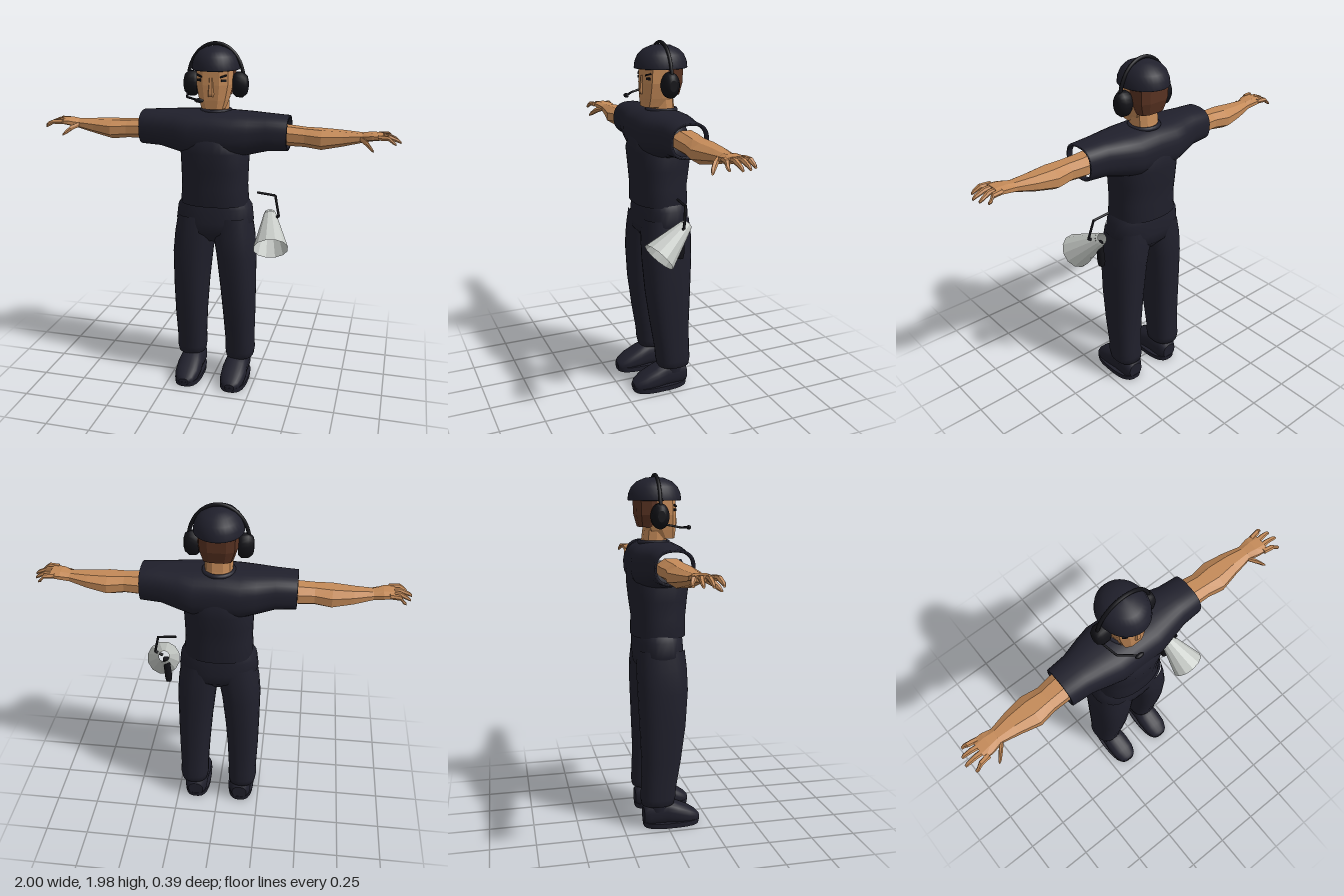
import * as THREE from 'three';

const AXES = { x: [0, 1, 2], y: [1, 2, 0], z: [2, 0, 1] };

// Skin through rounded sections [t, centreU, centreV, radiusU, radiusV]; u, v follow the axis cyclically.
function loft(axis, sections, { n = 24, p = 2.4, caps = false } = {}) {
  const [T, U, V] = AXES[axis], pos = [], idx = [];
  const pow = c => Math.sign(c) * Math.abs(c) ** (2 / p);
  const ring = ([t, cu, cv, ru, rv]) => {
    for (let j = 0; j < n; j++) {
      const a = (j + 0.5) / n * Math.PI * 2, q = [0, 0, 0];
      q[T] = t; q[U] = cu + ru * pow(Math.cos(a)); q[V] = cv + rv * pow(Math.sin(a));
      pos.push(...q);
    }
  };
  sections.forEach(ring);
  for (let i = 0; i < sections.length - 1; i++) {
    for (let j = 0; j < n; j++) {
      const k = (j + 1) % n, a = i * n + j, b = i * n + k;
      idx.push(a, b, b + n, a, b + n, a + n);
    }
  }
  if (caps) {
    [sections[0], sections[sections.length - 1]].forEach((s, e) => {
      const o = pos.length / 3, q = [0, 0, 0];
      ring(s);
      q[T] = s[0]; q[U] = s[1]; q[V] = s[2];
      pos.push(...q);
      for (let j = 0; j < n; j++) {
        const k = (j + 1) % n;
        if (e) idx.push(o + n, o + j, o + k); else idx.push(o + n, o + k, o + j);
      }
    });
  }
  const g = new THREE.BufferGeometry();
  g.setAttribute('position', new THREE.Float32BufferAttribute(pos, 3));
  g.setIndex(idx);
  g.computeVertexNormals();
  return g;
}

// Mirrored copy across x = 0 with corrected winding
function mirrored(geo) {
  const g = geo.clone().scale(-1, 1, 1), a = g.index.array;
  for (let i = 0; i < a.length; i += 3) [a[i], a[i + 1]] = [a[i + 1], a[i]];
  g.computeVertexNormals();
  return g;
}

// Straight round piece from point a to point b
function rod(a, b, ra, rb, n = 8, open = false) {
  const A = new THREE.Vector3(...a), B = new THREE.Vector3(...b), d = B.clone().sub(A);
  const g = new THREE.CylinderGeometry(rb, ra, d.length(), n, 1, open);
  g.applyQuaternion(new THREE.Quaternion().setFromUnitVectors(new THREE.Vector3(0, 1, 0), d.normalize()));
  const m = A.add(B).multiplyScalar(0.5);
  return g.translate(m.x, m.y, m.z);
}

export function createModel() {
  const model = new THREE.Group();
  model.name = 'crewMember';
  const mat = (name, color, extra = {}) => Object.assign(new THREE.MeshStandardMaterial({ color, ...extra }), { name });
  const navy = mat('navyCloth', 0x20202c);
  const black = mat('blackPlastic', 0x121217);
  const skin = mat('skin', 0xc48a58, { flatShading: true });
  const brown = mat('brownHair', 0x5a3322, { flatShading: true });
  const grey = mat('greyHorn', 0xc6cac6, { flatShading: true, side: THREE.DoubleSide });
  const add = (name, geo, material) => {
    const m = new THREE.Mesh(geo, material);
    m.name = name;
    model.add(m);
    return m;
  };
  const pair = (name, geo, material) => {
    add(name + 'Left', geo, material);
    add(name + 'Right', mirrored(geo), material);
  };

  // Shirt: sleeves and shoulders run across, the body hangs below
  const half = [
    [0.12, 1.49, -0.027, 0.125, 0.163], [0.2, 1.498, -0.025, 0.115, 0.143],
    [0.3, 1.508, -0.02, 0.1, 0.115], [0.41, 1.508, -0.018, 0.094, 0.107],
    [0.412, 1.508, -0.018, 0.08, 0.093], [0.385, 1.508, -0.018, 0.079, 0.092],
  ];
  const other = half.map(([x, ...r]) => [-x, ...r]).reverse();
  add('shirtShoulders', loft('x', [...other, [0, 1.49, -0.025, 0.13, 0.16], ...half], { n: 32, p: 2.5 }), navy);
  add('shirtBody', loft('y', [
    [1.13, -0.02, 0, 0.135, 0.175], [1.1, -0.02, 0, 0.138, 0.178], [1.1, -0.02, 0, 0.15, 0.192],
    [1.2, -0.018, 0, 0.148, 0.185], [1.3, -0.02, 0, 0.16, 0.187], [1.4, -0.02, 0, 0.171, 0.19],
    [1.46, -0.025, 0, 0.165, 0.165], [1.52, -0.03, 0, 0.14, 0.125],
  ], { n: 32 }), navy);
  add('collar', new THREE.TorusGeometry(0.078, 0.012, 8, 24).rotateX(Math.PI / 2).translate(0, 1.612, -0.04), navy);

  // Trousers
  add('trouserHips', loft('y', [
    [0.88, -0.02, 0, 0.08, 0.09], [0.94, -0.02, 0, 0.135, 0.19], [1.0, -0.022, 0, 0.14, 0.222],
    [1.08, -0.025, 0, 0.137, 0.212], [1.12, -0.025, 0, 0.13, 0.185],
  ], { n: 32, caps: true }), navy);
  pair('trouserLeg', loft('y', [
    [0.17, -0.05, 0.148, 0.075, 0.066], [0.14, -0.05, 0.148, 0.078, 0.068], [0.14, -0.052, 0.148, 0.093, 0.081],
    [0.18, -0.05, 0.149, 0.1, 0.086], [0.24, -0.045, 0.148, 0.1, 0.084], [0.4, -0.03, 0.146, 0.112, 0.091],
    [0.6, -0.02, 0.139, 0.13, 0.1], [0.8, -0.017, 0.128, 0.141, 0.111],
    [0.92, -0.02, 0.112, 0.141, 0.116], [1.03, -0.02, 0.1, 0.13, 0.11],
  ]), navy);

  // Shoes with flat soles
  pair('shoe', loft('z', [
    [-0.132, 0.138, 0.065, 0.045, 0.045], [-0.1, 0.138, 0.08, 0.066, 0.076], [0, 0.138, 0.082, 0.068, 0.078],
    [0.06, 0.138, 0.068, 0.074, 0.066], [0.13, 0.138, 0.05, 0.07, 0.05], [0.175, 0.138, 0.035, 0.052, 0.034],
    [0.193, 0.138, 0.03, 0.028, 0.02],
  ], { caps: true }), navy);
  pair('sole', loft('y', [[0, 0.03, 0.138, 0.162, 0.078], [0.03, 0.03, 0.138, 0.166, 0.08]], { p: 2.7, caps: true }), navy);
  pair('ankle', rod([0.145, 0.1, -0.05], [0.145, 0.2, -0.05], 0.064, 0.064, 20), navy);

  // Arms and hands
  pair('arm', loft('x', [
    [0.34, 1.5, -0.024, 0.056, 0.078], [0.42, 1.495, -0.024, 0.055, 0.08], [0.5, 1.492, -0.018, 0.052, 0.074],
    [0.59, 1.486, -0.018, 0.056, 0.09], [0.7, 1.495, -0.02, 0.042, 0.068],
    [0.8, 1.505, -0.014, 0.026, 0.046], [0.85, 1.515, -0.01, 0.023, 0.06],
    [0.905, 1.518, -0.005, 0.017, 0.062],
  ], { n: 8, p: 2.2, caps: true }), skin);
  for (const [i, [z0, z1, tip]] of [[-0.052, -0.072, 0.965], [-0.02, -0.032, 0.99], [0.013, 0.012, 1], [0.045, 0.065, 0.975]].entries()) {
    pair('finger' + (i + 1), loft('x', [
      [0.88, 1.52, z0, 0.014, 0.016], [0.935, 1.52, (z0 + z1) / 2, 0.013, 0.014],
      [tip - 0.015, 1.502, z1, 0.01, 0.011], [tip, 1.492, z1, 0.006, 0.007],
    ], { n: 6, caps: true }), skin);
  }
  pair('thumb', loft('x', [
    [0.79, 1.505, 0.02, 0.014, 0.014], [0.825, 1.49, 0.055, 0.016, 0.016],
    [0.85, 1.468, 0.078, 0.012, 0.013], [0.865, 1.455, 0.088, 0.006, 0.007],
  ], { n: 6, caps: true }), skin);

  // Head, neck and hair
  add('neck', loft('y', [[1.57, -0.045, 0, 0.075, 0.078], [1.63, -0.038, 0, 0.068, 0.074], [1.74, -0.03, 0, 0.062, 0.074]], { n: 10 }), skin);
  add('head', loft('y', [
    [1.632, 0.015, 0, 0.058, 0.066], [1.68, -0.008, 0, 0.086, 0.082],
    [1.76, -0.02, 0, 0.1, 0.099], [1.86, -0.025, 0, 0.1, 0.1],
  ], { n: 10, p: 3, caps: true }), skin);
  add('nose', loft('y', [[1.7, 0.07, 0, 0.016, 0.018], [1.715, 0.073, 0, 0.018, 0.018], [1.8, 0.073, 0, 0.007, 0.01]], { n: 6, caps: true }), skin);
  add('hair', loft('y', [
    [1.695, -0.08, 0, 0.048, 0.08], [1.76, -0.07, 0, 0.076, 0.102], [1.85, -0.07, 0, 0.08, 0.106],
  ], { n: 10, p: 3, caps: true }), brown);
  for (const s of [-1, 1]) {
    const eye = add('eye', new THREE.BoxGeometry(0.026, 0.013, 0.008), black);
    eye.position.set(s * 0.067, 1.786, 0.064);
    eye.rotation.y = s * 0.58;
    const brow = add('eyebrow', new THREE.BoxGeometry(0.036, 0.009, 0.009), black);
    brow.position.set(s * 0.066, 1.808, 0.065);
    brow.rotation.set(0, s * 0.58, s * 0.25);
  }

  // Helmet
  const dome = [[0, 0], [0.98, 0], [1, 0.02], [0.97, 0.3], [0.86, 0.58], [0.66, 0.8], [0.36, 0.95], [0, 1]];
  add('helmet', new THREE.LatheGeometry(dome.map(([r, y]) => new THREE.Vector2(r, y)), 32)
    .scale(0.13, 0.125, 0.147).translate(0, 1.835, -0.035), navy);

  // Headset: band, ear cups and microphone
  const band = [];
  for (let i = 0; i <= 12; i++) {
    const a = i / 12 * Math.PI;
    band.push(new THREE.Vector3(0.155 * Math.cos(a), 1.77 + 0.2 * Math.sin(a), -0.033));
  }
  add('headband', new THREE.TubeGeometry(new THREE.CatmullRomCurve3(band), 40, 0.01, 8), black);
  pair('earCup', loft('x', [
    [0.1, 1.755, -0.033, 0.055, 0.038], [0.115, 1.755, -0.033, 0.068, 0.048],
    [0.15, 1.755, -0.033, 0.068, 0.048], [0.172, 1.755, -0.033, 0.05, 0.034], [0.178, 1.755, -0.033, 0.03, 0.02],
  ], { n: 20, p: 2, caps: true }), black);
  add('micBoomSide', rod([-0.155, 1.715, -0.02], [-0.13, 1.695, 0.08], 0.006, 0.006), black);
  add('micBoomFront', rod([-0.13, 1.695, 0.08], [-0.045, 1.69, 0.148], 0.006, 0.006), black);
  add('microphone', new THREE.SphereGeometry(1, 12, 8).scale(0.026, 0.012, 0.012).translate(-0.045, 1.69, 0.148), black);

  // Megaphone with grip and carrying strap
  add('megaphoneHorn', rod([0.312, 1.03, -0.045], [0.35, 0.89, 0.125], 0.036, 0.097, 12, true), grey);
  add('megaphoneRim', rod([0.309, 1.04, -0.058], [0.312, 1.03, -0.045], 0.03, 0.036, 12, true), grey);
  add('megaphoneGrip', loft('y', [
    [0.845, -0.025, 0.295, 0.018, 0.016], [0.87, -0.025, 0.295, 0.022, 0.02], [1.0, -0.025, 0.305, 0.02, 0.018],
  ], { n: 12, caps: true }), black);
  add('megaphoneTrigger', rod([0.3, 0.94, -0.02], [0.305, 0.945, 0.03], 0.012, 0.012), black);
  add('strapUpper', rod([0.24, 1.16, -0.032], [0.342, 1.15, -0.03], 0.007, 0.007), black);
  add('strapLower', rod([0.342, 1.152, -0.03], [0.368, 1.035, -0.012], 0.007, 0.007), black);
  add('strapMount', rod([0.368, 1.037, -0.012], [0.325, 1.015, -0.015], 0.008, 0.008), black);

  return model;
}
